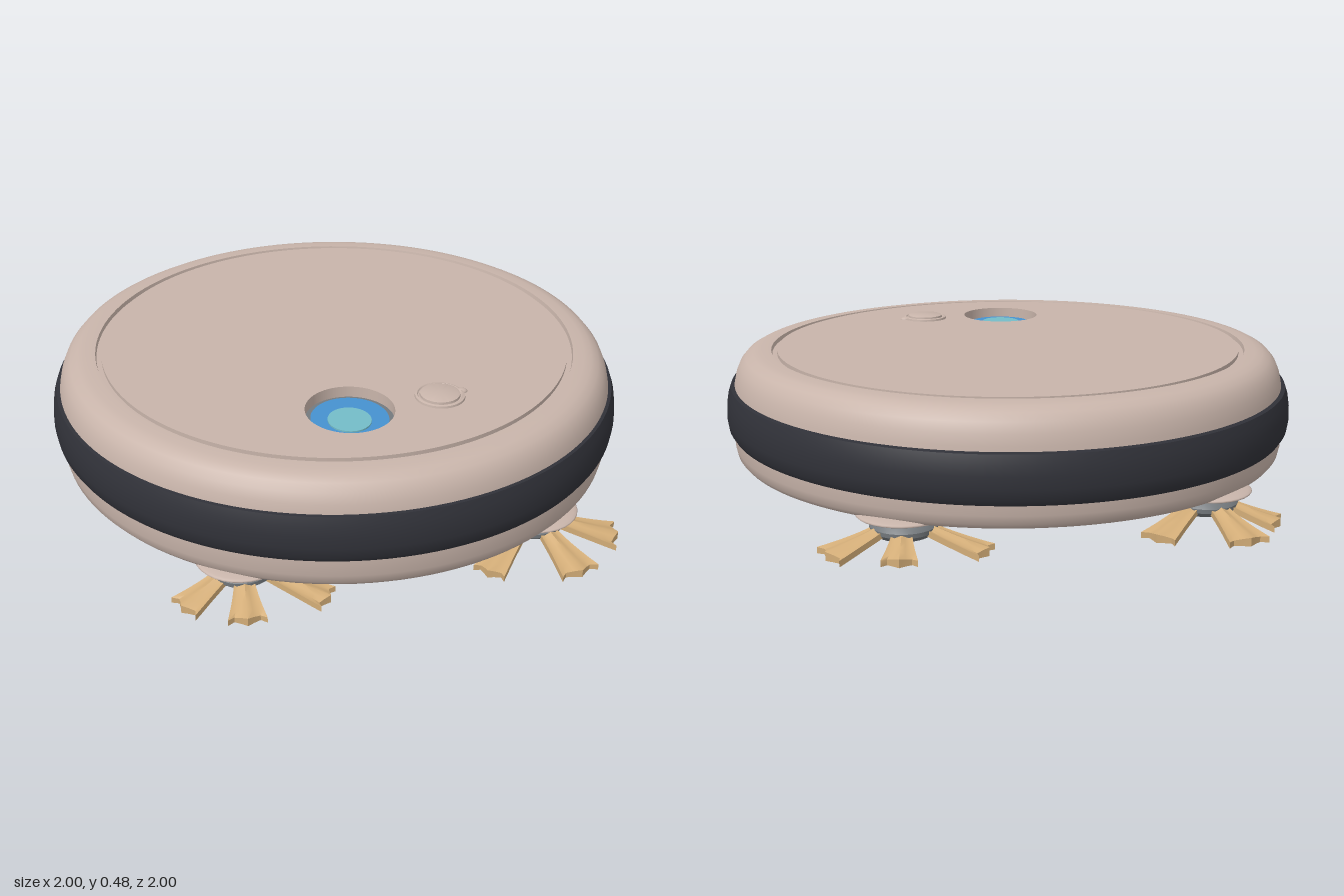
import * as THREE from 'three';
import { toCreasedNormals } from 'three/addons/utils/BufferGeometryUtils.js';

const material = (name, color, side = THREE.FrontSide) =>
  Object.assign(new THREE.MeshStandardMaterial({ color, side }), { name });

const V = (pairs) => pairs.map(([r, y]) => new THREE.Vector2(r, y));

// Turned part with smooth curves and sharp corners
const turned = (pairs, segments = 128) =>
  toCreasedNormals(new THREE.LatheGeometry(V(pairs), segments), 0.7);

// Flared bristle along +z: narrow and raised at the hub, wide and low at the tip
function bristleGeometry(length, tipWidth) {
  const geo = new THREE.BoxGeometry(1, 0.02, 1, 6, 1, 6);
  const p = geo.attributes.position;
  for (let i = 0; i < p.count; i++) {
    const u = p.getX(i) * 2;
    const t = p.getZ(i) + 0.5;
    const width = THREE.MathUtils.lerp(0.055, tipWidth, t * t * 0.5 + t * 0.5);
    const drop = THREE.MathUtils.lerp(0.07, 0.014, Math.pow(t, 0.75));
    const ridge = Math.cos(u * Math.PI * 1.5) * 0.004 + (1 - Math.abs(u)) * 0.004;
    const ragged = t > 0.99 ? Math.cos(u * 5) * 0.012 : 0;
    const top = p.getY(i) > 0;
    p.setXYZ(i, (u * width) / 2, drop + p.getY(i) + (top ? ridge : 0), t * length + ragged);
  }
  return toCreasedNormals(geo, 0.7);
}

export function createModel() {
  const model = new THREE.Group();
  model.name = 'robotVacuum';

  const shell = material('warmBeige', 0xc8b4aa);
  const dark = material('charcoal', 0x303138);
  const grey = material('slateGrey', 0x74797d);
  const tan = material('bristleTan', 0xd3ad78);
  const blue = material('lensBlue', 0x4691cf);
  const teal = material('lensTeal', 0x74bcc8);

  const add = (name, geo, mat, parent = model) => {
    const mesh = new THREE.Mesh(geo, mat);
    mesh.name = name;
    parent.add(mesh);
    return mesh;
  };

  // Body shell, ending in the groove around the lid
  add('body', turned([
    [0, 0.1], [0.93, 0.1], [0.955, 0.106], [0.968, 0.122], [0.974, 0.15], [0.977, 0.2],
    [0.974, 0.3], [0.967, 0.36], [0.959, 0.395], [0.945, 0.427], [0.925, 0.45],
    [0.9, 0.463], [0.875, 0.468], [0.837, 0.469], [0.834, 0.455], [0.8, 0.455],
  ]), shell);

  // Bumper band, leaning slightly towards the back
  const band = add('bumperBand', turned([
    [0.965, 0.195], [0.982, 0.197], [0.993, 0.215], [0.998, 0.25], [0.996, 0.29],
    [0.99, 0.325], [0.98, 0.353], [0.958, 0.357],
  ]), dark);
  band.rotation.x = -0.0125;

  // Lid with an opening for the lens
  const lens = { x: -0.09, z: 0.517 };
  const disc = new THREE.Shape().absarc(0, 0, 0.817, 0, Math.PI * 2);
  disc.holes.push(new THREE.Path().absellipse(lens.x, -lens.z, 0.144, 0.15, 0, Math.PI * 2, true));
  const lid = add('lid', new THREE.ExtrudeGeometry(disc, {
    depth: 0.05, bevelEnabled: false, curveSegments: 96,
  }), shell);
  lid.rotation.x = -Math.PI / 2;
  lid.position.y = 0.419;

  // Recessed lens: grey rim, blue glass, teal centre
  const lensPlate = (name, rx, rz, y, dx, dz, mat) => {
    const plate = add(name, new THREE.CylinderGeometry(1, 1, 0.006, 64), mat);
    plate.scale.set(rx, 1, rz);
    plate.position.set(lens.x + dx, y, lens.z + dz);
  };
  lensPlate('lensRim', 0.148, 0.154, 0.428, 0, 0, grey);
  lensPlate('lensGlass', 0.126, 0.134, 0.433, 0, 0, blue);
  lensPlate('lensCentre', 0.07, 0.076, 0.438, -0.005, 0.015, teal);

  // Power button with a small side nub
  const button = new THREE.Group();
  button.name = 'button';
  button.position.set(0.215, 0.465, 0.513);
  model.add(button);
  add('buttonCollar', turned([
    [0.083, 0], [0.081, 0.011], [0.074, 0.013], [0.071, 0.009], [0.066, 0.009],
    [0.065, 0.017], [0.057, 0.02], [0, 0.021],
  ], 48), shell, button);
  const nub = add('buttonNub', new THREE.SphereGeometry(1, 16, 10), shell, button);
  nub.scale.set(0.022, 0.01, 0.016);
  nub.position.set(0.078, 0.004, -0.014);

  // Brushes: hub position, then tip x, tip z and tip width of each bristle
  const brushes = [
    ['frontLeftBrush', 0.49, 0.69, [[0.27, 0.88, 0.11], [0.55, 0.955, 0.14], [0.745, 0.8, 0.14]]],
    ['frontRightBrush', -0.49, 0.69, [[-0.26, 0.87, 0.11], [-0.52, 0.91, 0.12], [-0.695, 0.8, 0.12]]],
    ['backLeftBrush', 0.49, -0.7, [[0.27, -0.87, 0.11], [0.535, -0.9, 0.11], [0.73, -0.8, 0.14]]],
    ['backRightBrush', -0.49, -0.7, [[-0.27, -0.88, 0.12], [-0.53, -0.97, 0.14], [-0.685, -0.83, 0.13]]],
  ];
  const hubGeo = turned([
    [0, 0.026], [0.06, 0.027], [0.088, 0.035], [0.107, 0.052], [0.108, 0.066],
    [0.096, 0.082], [0.08, 0.09], [0.075, 0.115],
  ], 32);
  const socketGeo = new THREE.SphereGeometry(1, 32, 16);

  for (const [name, x, z, tips] of brushes) {
    const brush = new THREE.Group();
    brush.name = name;
    brush.position.set(x, 0, z);
    model.add(brush);
    add('hub', hubGeo, grey, brush);

    // Low swelling of the underside around the hub
    const socket = add('hubSocket', socketGeo, shell, brush);
    socket.scale.set(0.15, 0.016, 0.15);
    socket.position.y = 0.104;

    for (const [tx, tz, width] of tips) {
      const dx = tx - x;
      const dz = tz - z;
      const reach = Math.hypot(dx, dz);
      const start = 0.06;
      const bristle = add('bristle', bristleGeometry(reach - start, width), tan, brush);
      bristle.rotation.y = Math.atan2(dx, dz);
      bristle.position.set((dx / reach) * start, 0, (dz / reach) * start);
    }
  }

  return model;
}
